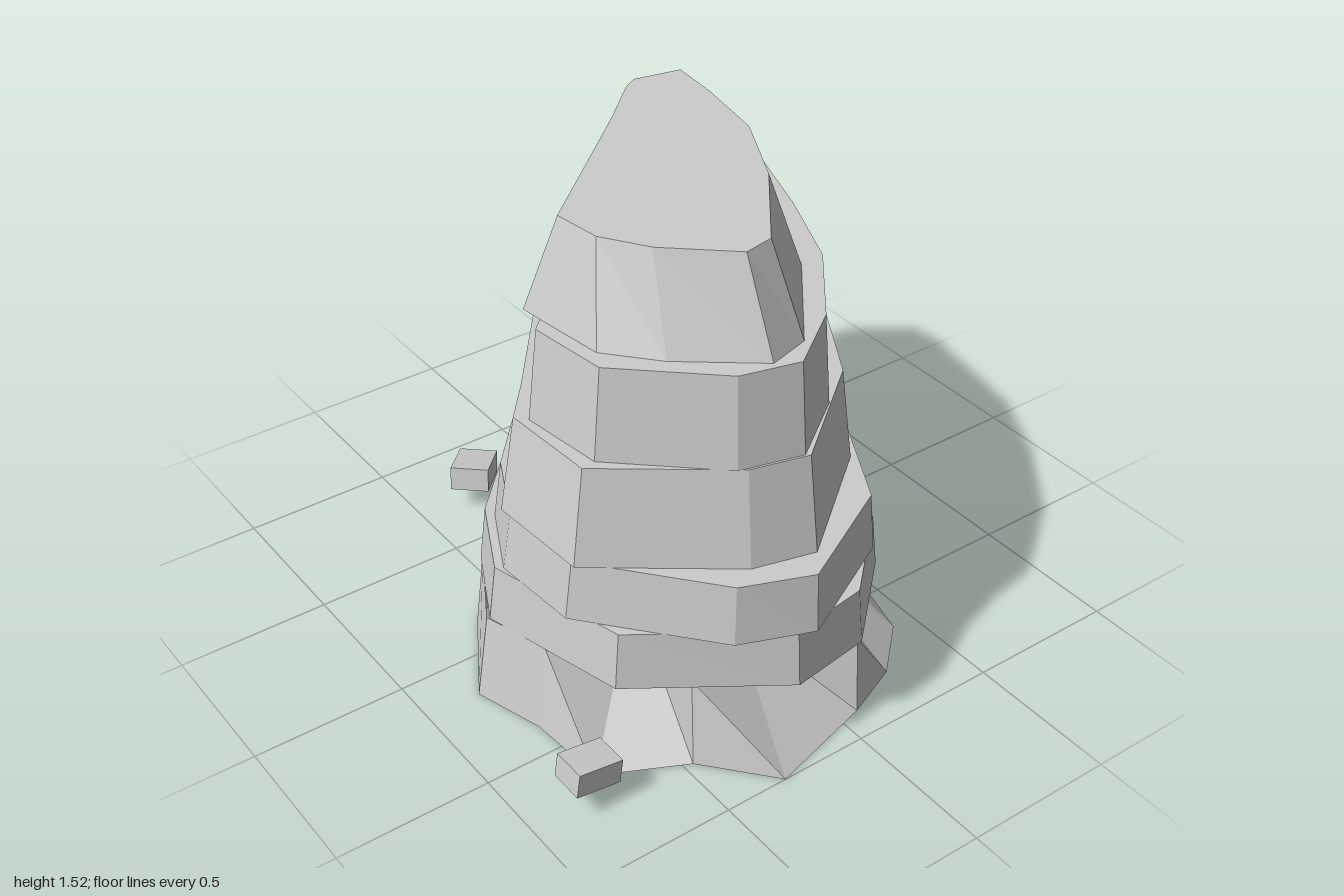
import * as THREE from 'three';

// Outlines as [x, z] pairs, running from the back round the left, front and right
// Foot outline; the third number is how far the top of each corner is drawn inwards
const FOOT = [[0.23, -0.92, 0.97], [0.58, -1, 0.55], [0.81, -0.7, 0.98], [0.87, -0.35, 0.6], [0.73, 0, 0.68], [0.52, 0.3, 0.97],
  [0.42, 0.67, 0.58], [0.26, 0.82, 0.62], [0.07, 0.9, 0.98], [-0.29, 1, 0.6], [-0.47, 0.79, 0.94], [-0.73, 0.66, 0.48],
  [-0.75, 0.39, 0.94], [-0.82, 0.16, 0.94], [-0.64, -0.14, 0.95], [-0.37, -0.41, 0.5], [-0.03, -0.63, 0.97]];
const CROWN_FOOT = [[0.17, -0.6], [0.44, -0.61], [0.57, -0.55], [0.47, -0.24], [0.43, 0], [0.26, 0.33], [0, 0.66],
  [-0.14, 0.7], [-0.37, 0.52], [-0.5, 0.37], [-0.54, 0.06], [-0.2, -0.24], [0.05, -0.47]];
const CROWN_TOP = [[0.19, -0.46], [0.24, -0.49], [0.4, -0.46], [0.38, -0.28], [0.33, -0.02], [0.19, 0.25], [-0.04, 0.55],
  [-0.14, 0.57], [-0.33, 0.4], [-0.42, 0.26], [-0.44, 0.1], [-0.21, -0.1], [0.03, -0.31]];

// Strata: heights, outline at the bottom, then x and z limits of the narrower top
const STRATA = [
  { y: [0.275, 0.46], top: [[-0.74, 0.77], [-0.9, 0.92]], ring: [[0.25, -0.93], [0.66, -0.87], [0.8, -0.62], [0.79, -0.35],
    [0.66, 0.02], [0.49, 0.3], [0.35, 0.64], [0.07, 0.9], [-0.2, 0.94], [-0.64, 0.64], [-0.765, 0.16], [-0.63, -0.11],
    [-0.36, -0.39], [-0.03, -0.61]] },
  { y: [0.46, 0.65], top: [[-0.69, 0.8], [-0.83, 0.93]], ring: [[0.26, -0.86], [0.68, -0.84], [0.83, -0.64], [0.8, -0.33],
    [0.65, -0.01], [0.23, 0.75], [-0.15, 0.95], [-0.38, 0.86], [-0.7, 0.48], [-0.72, 0.18], [-0.6, -0.06], [-0.33, -0.36],
    [-0.02, -0.57]] },
  { y: [0.65, 0.95], top: [[-0.64, 0.69], [-0.83, 0.79]], ring: [[0.24, -0.88], [0.45, -0.9], [0.72, -0.72], [0.74, -0.4],
    [0.62, 0], [0.45, 0.3], [0.3, 0.55], [-0.08, 0.85], [-0.28, 0.8], [-0.68, 0.5], [-0.7, 0.15], [-0.58, 0.01],
    [-0.31, -0.33], [0, -0.59]] },
  { y: [0.95, 1.235], top: [[-0.57, 0.66], [-0.76, 0.74]], ring: [[0.45, -0.8], [0.67, -0.66], [0.69, -0.5], [0.58, -0.2],
    [0.5, 0.02], [0.36, 0.34], [0.14, 0.62], [-0.08, 0.78], [-0.28, 0.73], [-0.575, 0.46], [-0.61, 0.18], [-0.42, 0.0],
    [-0.14, -0.3], [0.12, -0.56], [0.28, -0.72]] },
];

// Resize an outline to the given x and z limits
function fit(ring, limits) {
  const range = [0, 1].map(k => [Math.min(...ring.map(p => p[k])), Math.max(...ring.map(p => p[k]))]);
  return ring.map(p => p.map((v, k) => THREE.MathUtils.mapLinear(v, ...range[k], ...limits[k])));
}

// Faceted slab between two outlines, optionally without its caps
function slab(bottom, top, y0, y1, capped = true) {
  const n = bottom.length, pos = [];
  const tri = (...pts) => pts.forEach(p => pos.push(...p));
  const lift = (ring, y) => ring.map(([x, z]) => [x, y, z]);
  const middle = ring => [0, 1, 2].map(k => ring.reduce((s, p) => s + p[k], 0) / n);
  const b = lift(bottom, y0), t = lift(top, y1), cb = middle(b), ct = middle(t);
  for (let i = 0; i < n; i++) {
    const j = (i + 1) % n;
    tri(b[i], t[i], t[j]);
    tri(b[i], t[j], b[j]);
    if (capped) {
      tri(ct, t[j], t[i]);
      tri(cb, b[i], b[j]);
    }
  }
  const geo = new THREE.BufferGeometry();
  geo.setAttribute('position', new THREE.Float32BufferAttribute(pos, 3));
  geo.computeVertexNormals();
  return geo;
}

export function createModel() {
  const model = new THREE.Group();
  const rock = new THREE.MeshStandardMaterial({ color: 0xcccccc, flatShading: true, side: THREE.DoubleSide });
  rock.name = 'rock grey';

  const add = (name, geo) => {
    const mesh = new THREE.Mesh(geo, rock);
    mesh.name = name;
    model.add(mesh);
    return mesh;
  };

  // Buttressed foot, open underneath
  add('baseSkirt', slab(FOOT, FOOT.map(([x, z, s]) => [x * s, z * s]), 0, 0.275, false));

  // Stacked strata
  STRATA.forEach(({ y, top, ring }, i) => add('stratum' + (i + 1), slab(ring, fit(ring, top), ...y)));

  // Tapered crown
  add('crown', slab(CROWN_FOOT, CROWN_TOP, 1.235, 1.525));

  // Loose stones beside the foot
  const stones = [
    [[0.15, 0.08, 0.115], [-0.795, 0.12, 0.725], [0, 0, -0.14]],
    [[0.165, 0.08, 0.13], [-0.29, 0.11, -0.715], [0, 0.83, -0.2]],
  ];
  stones.forEach(([size, at, turn], i) => {
    const stone = add('looseStone' + (i + 1), new THREE.BoxGeometry(...size));
    stone.position.set(...at);
    stone.rotation.set(...turn);
  });
  return model;
}
